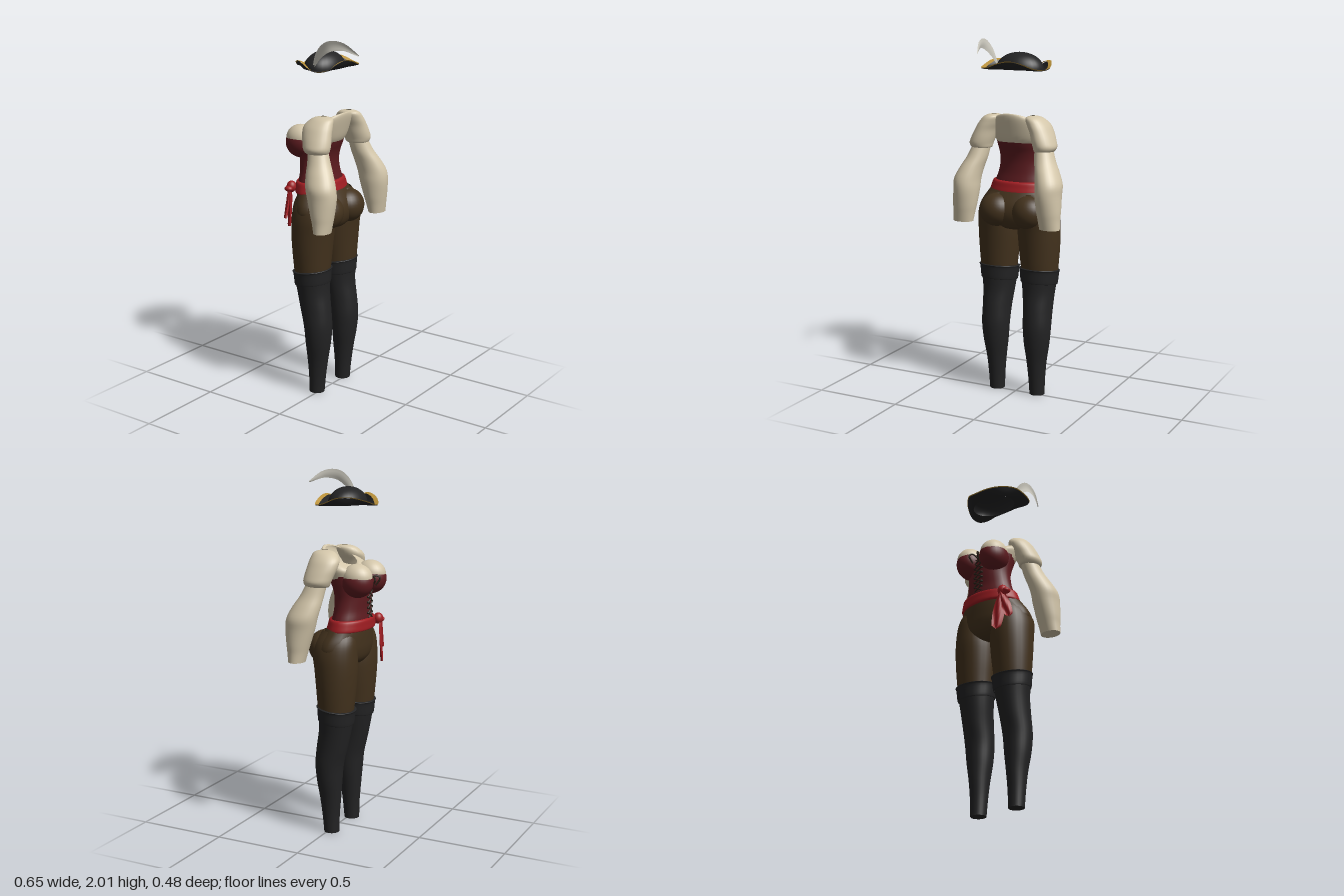
import * as THREE from 'three';

const mat = (name, color, side = THREE.DoubleSide) => {
  const m = new THREE.MeshStandardMaterial({ color, side });
  m.name = name;
  return m;
};

// Smooth surface from fn(u, v); u may wrap around
function grid(fn, nu, nv, closed, cap = false) {
  const pos = [], idx = [], w = closed ? nu : nu + 1;
  for (let j = 0; j <= nv; j++)
    for (let i = 0; i < w; i++) pos.push(...fn(i / nu, j / nv));
  for (let j = 0; j < nv; j++)
    for (let i = 0; i < nu; i++) {
      const a = j * w + i, b = j * w + ((i + 1) % w);
      idx.push(a, b, b + w, a, b + w, a + w);
    }
  if (cap) { // flat lower end with its own vertices
    const o = pos.length / 3;
    const c = [0, 0, 0];
    for (let i = 0; i < nu; i++) {
      const p = fn(i / nu, 0);
      pos.push(...p);
      p.forEach((q, k) => (c[k] += q / nu));
    }
    pos.push(...c);
    for (let i = 0; i < nu; i++) idx.push(o + nu, o + ((i + 1) % nu), o + i);
  }
  const g = new THREE.BufferGeometry();
  g.setAttribute('position', new THREE.Float32BufferAttribute(pos, 3));
  g.setIndex(idx);
  g.computeVertexNormals();
  return g;
}

// Elliptical rings, bottom to top: [y, centreX, radiusX, frontZ, backZ, backward tilt]
function loft(rings, s = 1, cap = false) {
  const col = k => rings.map(r => r[k] ?? 0);
  const cols = [0, 1, 2, 3, 4, 5].map(col);
  const at = (c, v) => {
    const n = c.length - 1, f = v * n, i = Math.min(Math.floor(f), n - 1), t = f - i;
    const p = k => c[Math.max(0, Math.min(n, k))];
    const m0 = (p(i + 1) - p(i - 1)) / 2, m1 = (p(i + 2) - p(i)) / 2;
    return (2 * t ** 3 - 3 * t * t + 1) * p(i) + (t ** 3 - 2 * t * t + t) * m0
      + (3 * t * t - 2 * t ** 3) * p(i + 1) + (t ** 3 - t * t) * m1;
  };
  return grid((u, v) => {
    const [y, cx, rx, zf, zb, tilt] = cols.map(c => at(c, v));
    const a = u * Math.PI * 2, ca = Math.cos(a);
    return [s * cx + rx * Math.sin(a), y + tilt * ca, (zf + zb) / 2 + ((zb - zf) / 2) * ca];
  }, 28, (rings.length - 1) * 4, true, cap);
}

export function createModel() {
  const root = new THREE.Group();
  root.name = 'costume';
  const cream = mat('cream cloth', 0xd3c6aa), wine = mat('wine corset', 0x5e1c20);
  const red = mat('red sash', 0xa01d22), brown = mat('brown trousers', 0x43321d);
  const black = mat('black leather', 0x232324), gold = mat('gold trim', 0xb8903a);
  const grey = mat('feather', 0xd2cfc4), lace = mat('dark lace', 0x2c2118);
  const add = (name, geo, m, x = 0, y = 0, z = 0) => {
    const mesh = new THREE.Mesh(geo, m);
    mesh.name = name;
    mesh.position.set(x, y, z);
    root.add(mesh);
    return mesh;
  };
  const ball = (name, m, x, y, z, rx, ry, rz, t0 = 0, t1 = Math.PI) => {
    const b = add(name, new THREE.SphereGeometry(1, 28, 18, 0, Math.PI * 2, t0, t1 - t0), m, x, y, z);
    b.scale.set(rx, ry, rz);
    return b;
  };

  for (const s of [1, -1]) {
    const side = s > 0 ? 'left' : 'right';
    // Tall boots with turned cuffs
    add(side + 'Boot', loft([
      [0, 0.127, 0.043, -0.06, 0.026], [0.1, 0.127, 0.048, -0.062, 0.036], [0.2, 0.127, 0.057, -0.07, 0.05],
      [0.3, 0.129, 0.072, -0.077, 0.066], [0.4, 0.13, 0.08, -0.086, 0.074], [0.5, 0.128, 0.083, -0.11, 0.066],
      [0.6, 0.125, 0.092, -0.13, 0.052], [0.7, 0.125, 0.106, -0.147, 0.052]], s, true), black);
    add(side + 'BootCuff', loft([
      [0.65, 0.125, 0.101, -0.139, 0.052, 0.012], [0.655, 0.125, 0.106, -0.144, 0.056, 0.012],
      [0.715, 0.125, 0.113, -0.15, 0.058, 0.012], [0.728, 0.125, 0.118, -0.155, 0.062, 0.012],
      [0.731, 0.125, 0.105, -0.14, 0.05, 0.012]], s), black);
    // Trouser legs and seat
    add(side + 'TrouserLeg', loft([
      [0.68, 0.127, 0.1, -0.138, 0.048], [0.75, 0.127, 0.107, -0.147, 0.057], [0.85, 0.125, 0.116, -0.157, 0.066],
      [0.95, 0.123, 0.12, -0.164, 0.077], [1.03, 0.123, 0.116, -0.163, 0.088], [1.1, 0.115, 0.105, -0.158, 0.08],
      [1.16, 0.1, 0.08, -0.14, 0.04]], s), brown);
    ball(side + 'Seat', brown, s * 0.1, 1.06, 0.035, 0.1, 0.095, 0.09);
    // Bust: cream blouse above, corset cup below
    ball(side + 'BlouseBust', cream, s * 0.084, 1.452, -0.15, 0.073, 0.076, 0.086);
    ball(side + 'CorsetCup', wine, s * 0.083, 1.428, -0.15, 0.078, 0.085, 0.09, 1.12);
    // Puffed shoulder and full lower sleeve
    add(side + 'PuffSleeve', loft([
      [1.41, 0.19, 0.03, -0.01, 0.08], [1.408, 0.19, 0.052, -0.03, 0.1], [1.432, 0.194, 0.064, -0.043, 0.112],
      [1.465, 0.184, 0.065, -0.055, 0.112], [1.51, 0.167, 0.062, -0.07, 0.105], [1.55, 0.146, 0.06, -0.07, 0.098],
      [1.585, 0.125, 0.045, -0.035, 0.085], [1.597, 0.118, 0.012, 0.01, 0.045]], s), cream);
    add(side + 'LowerSleeve', loft([
      [1.0, 0.265, 0.058, 0.078, 0.167], [1.05, 0.26, 0.062, 0.065, 0.175], [1.1, 0.256, 0.068, 0.05, 0.183],
      [1.18, 0.25, 0.072, 0.026, 0.192], [1.24, 0.248, 0.073, 0.012, 0.186], [1.3, 0.23, 0.065, 0, 0.16],
      [1.36, 0.206, 0.057, -0.008, 0.125], [1.43, 0.188, 0.048, -0.02, 0.095]], s, true), cream);
  }

  // Hips joining both trouser legs
  add('trouserHips', loft([
    [0.955, 0, 0.03, -0.08, 0.02], [0.965, 0, 0.1, -0.125, 0.06], [1.0, 0, 0.19, -0.158, 0.085],
    [1.05, 0, 0.232, -0.17, 0.095], [1.1, 0, 0.226, -0.172, 0.085], [1.15, 0, 0.196, -0.172, 0.055],
    [1.2, 0, 0.165, -0.17, 0.02]]), brown);

  // Corset and blouse yoke with a scooped neckline
  add('corset', loft([
    [1.18, 0, 0.165, -0.175, 0.022], [1.22, 0, 0.157, -0.177, 0.016], [1.27, 0, 0.14, -0.175, 0.008],
    [1.33, 0, 0.131, -0.182, 0.008], [1.38, 0, 0.134, -0.186, 0.018], [1.42, 0, 0.14, -0.187, 0.034],
    [1.46, 0, 0.145, -0.185, 0.048]]), wine);
  add('blouse', loft([
    [1.42, 0, 0.13, -0.165, 0.025], [1.46, 0, 0.147, -0.165, 0.052], [1.5, 0, 0.158, -0.165, 0.072, 0.02],
    [1.535, 0, 0.148, -0.145, 0.088, 0.045], [1.558, 0, 0.115, -0.11, 0.088, 0.048],
    [1.556, 0, 0.098, -0.095, 0.072, 0.045]]), cream);

  // Criss-cross lacing and bow ends down the chest
  for (let i = 0; i < 7; i++)
    for (const s of [1, -1]) {
      const y = 1.24 + i * 0.029;
      const bar = add('lacing', new THREE.CylinderGeometry(0.004, 0.004, 0.052, 6), lace, 0, y, -0.19);
      bar.rotation.z = s * 1.0;
      add('laceEyelet', new THREE.SphereGeometry(0.007, 8, 6), lace, s * 0.025, y + 0.014, -0.187);
    }
  for (const s of [1, -1]) {
    const path = new THREE.CatmullRomCurve3([[0, 1.43, -0.188], [0.02, 1.455, -0.215], [0.03, 1.44, -0.232],
      [0.022, 1.4, -0.21]].map(([x, y, z]) => new THREE.Vector3(s * x, y, z)));
    add('laceBow', new THREE.TubeGeometry(path, 12, 0.005, 6), lace);
  }

  // Waist sash, knot and hanging tails
  add('sash', loft([
    [1.158, 0, 0.18, -0.178, 0.036], [1.163, 0, 0.188, -0.19, 0.044], [1.19, 0, 0.181, -0.191, 0.038],
    [1.215, 0, 0.172, -0.19, 0.032], [1.222, 0, 0.16, -0.178, 0.02]]), red);
  ball('sashKnot', red, -0.155, 1.19, -0.165, 0.028, 0.032, 0.027);
  [[0.235, 0.12, 0.024], [0.175, -0.3, 0.02]].forEach(([len, lean, w], i) => {
    const tail = add('sashTail', grid((u, v) => {
      const h = w * (0.35 + 1.3 * Math.sin(v * 2.4) * (1 - v * 0.35));
      return [(u - 0.5) * 2 * h * (v > 0.99 ? 0.15 : 1), -v * len, 0.008 * Math.sin(u * 7 + v * 3) - 0.012 * v];
    }, 8, 14, false), red, -0.155, 1.185, -0.175 - i * 0.006);
    tail.rotation.set(0, 0.45, lean);
  });
  ball('sashLoop', red, -0.182, 1.182, -0.165, 0.02, 0.016, 0.024);

  // Three-cornered hat: outline runs from the back centre round one side to the front tip
  const half = [[0, 1.882, 0.083], [0.07, 1.87, 0.08], [0.14, 1.846, 0.07], [0.188, 1.84, 0.042],
    [0.2, 1.85, -0.005], [0.178, 1.878, -0.07], [0.13, 1.88, -0.13], [0.07, 1.86, -0.19], [0, 1.835, -0.224]];
  const loop = [...half, ...half.slice(1, -1).reverse().map(([x, y, z]) => [-x, y, z])];
  const outline = new THREE.CatmullRomCurve3(loop.map(p => new THREE.Vector3(...p)), true);
  const brim = (t0, t1, lift) => grid((u, v) => {
    const p = outline.getPoint(u), t = t1 + (t0 - t1) * v;
    const a = Math.atan2(p.x / 0.135, (p.z + 0.05) / 0.098);
    const x = 0.132 * Math.sin(a), z = -0.05 + 0.094 * Math.cos(a);
    return [x + (p.x - x) * t, 1.838 + (p.y - 1.838) * t ** 1.6 - 0.012 * t * (1 - t) + lift, z + (p.z - z) * t];
  }, 96, 8, true);
  add('hatBrim', brim(0, 1, 0), black);
  const trim = grid((u, v) => {
    const p = outline.getPoint(u), dx = p.x, dz = p.z + 0.05, d = Math.hypot(dx, dz);
    const k = (0.003 - 0.022 * v) / d;
    return [p.x + dx * k, p.y + 0.005 - 0.006 * v, p.z + dz * k];
  }, 96, 2, true);
  add('hatTrim', trim, gold);
  ball('hatCrown', black, 0, 1.838, -0.05, 0.137, 0.092, 0.099, 0, Math.PI / 2);

  // Curved plume
  const spine = new THREE.CatmullRomCurve3([[-0.128, 1.862, -0.03], [-0.14, 1.93, 0.015], [-0.146, 1.975, 0.08],
    [-0.133, 1.978, 0.16], [-0.106, 1.935, 0.242]].map(p => new THREE.Vector3(...p)));
  add('feather', grid((u, v) => {
    const p = spine.getPoint(v), t = spine.getTangent(v), l = Math.hypot(t.y, t.z);
    const w = (u - 0.5) * 2 * (0.004 + 0.024 * Math.sin(Math.PI * Math.min(1, v * 0.96 + 0.04)));
    return [p.x + 0.004 * (1 - Math.abs(u * 2 - 1)), p.y + (w * t.z) / l, p.z - (w * t.y) / l];
  }, 4, 24, false), grey);

  return root;
}
